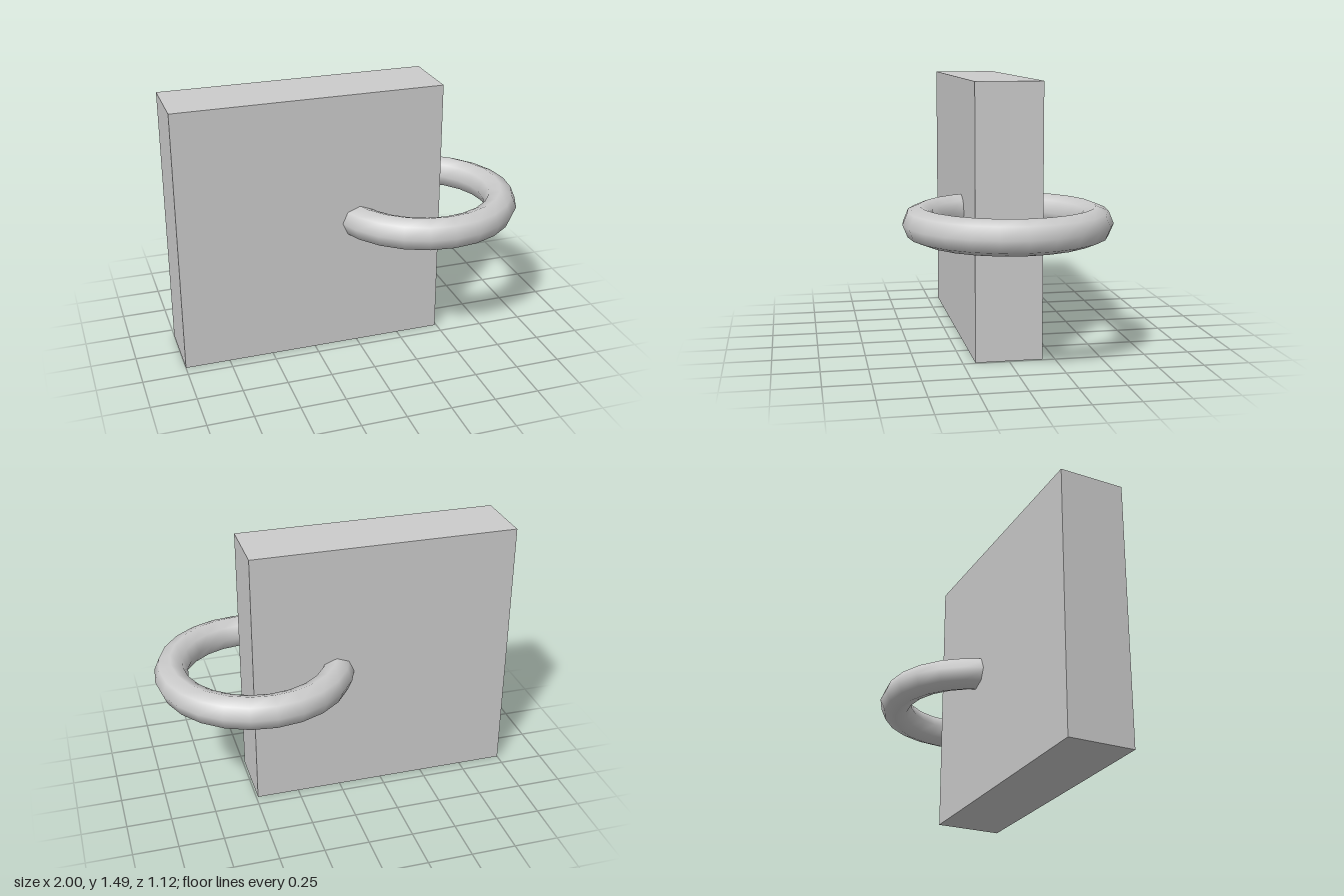
import * as THREE from 'three';

export function createModel() {
  const model = new THREE.Group();
  const grey = new THREE.MeshStandardMaterial({ color: 0xcccccc });
  grey.name = 'light grey';

  // upright square slab
  const slab = new THREE.Mesh(new THREE.BoxGeometry(1.49, 1.49, 0.365), grey);
  slab.name = 'slab';
  slab.position.set(-0.255, 0.745, 0);
  model.add(slab);

  // horizontal ring passing through the slab near its edge
  const ring = new THREE.Mesh(new THREE.TorusGeometry(0.465, 0.093, 8, 24), grey);
  ring.name = 'ring';
  ring.rotation.x = Math.PI / 2;
  ring.position.set(0.442, 0.748, 0);
  model.add(ring);

  return model;
}
